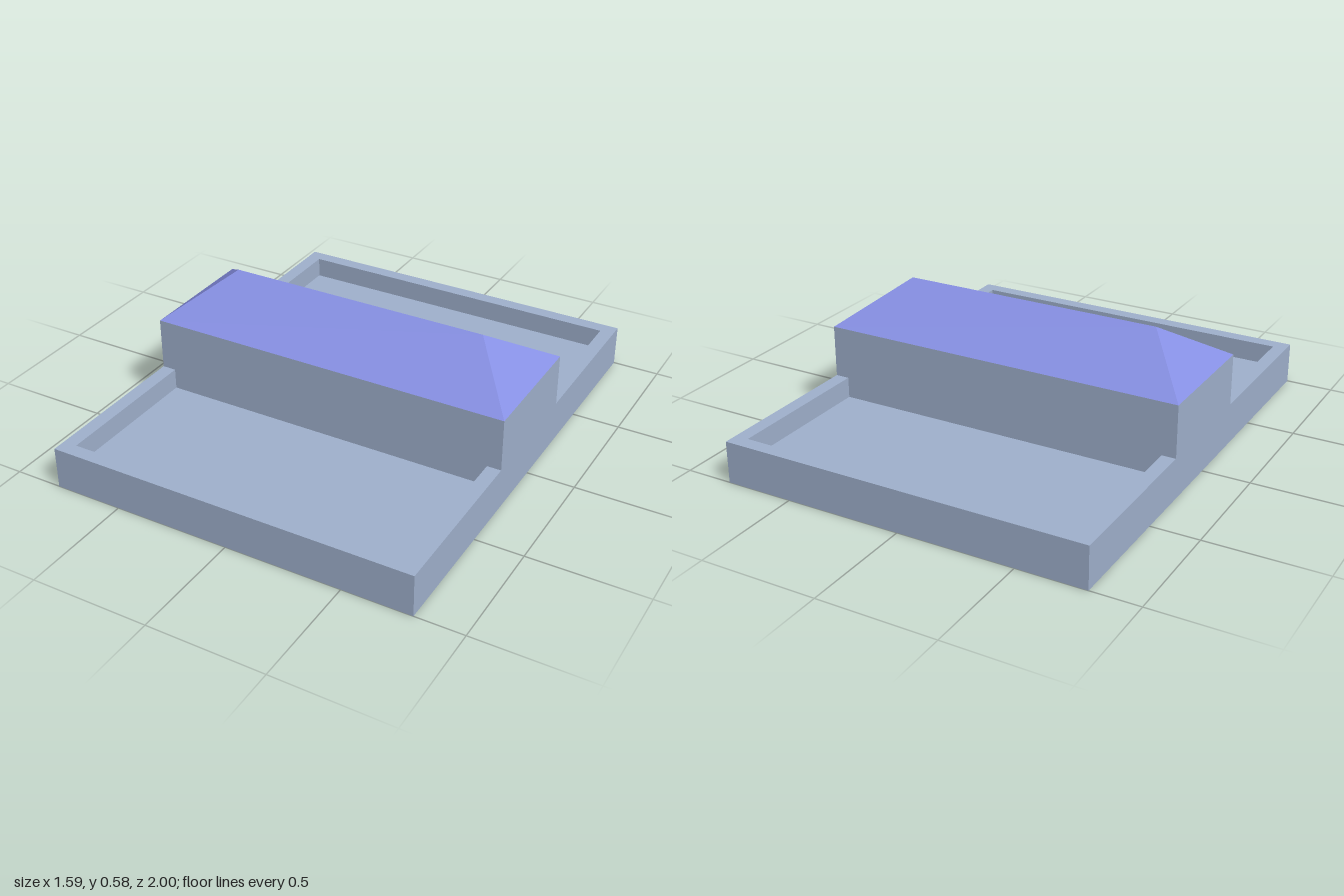
import * as THREE from 'three';

const HALF_X = 0.795, HALF_Z = 1, RIM = 0.06;
const FLOOR_Y = 0.09, RIM_Y = 0.18, EAVE_Y = 0.405, RIDGE_Y = 0.58;
const HOUSE_Z = 0.275, RIDGE_X = 0.57;

const wallMaterial = new THREE.MeshStandardMaterial({ color: 0x9fb0cc, flatShading: true });
const roofMaterial = new THREE.MeshStandardMaterial({ color: 0x868fe3, flatShading: true });

function part(name, geometry, material) {
  const mesh = new THREE.Mesh(geometry, material);
  mesh.name = name;
  return mesh;
}

// Box spanning the full width between two heights
function slab(name, halfZ, y0, y1) {
  const geometry = new THREE.BoxGeometry(2 * HALF_X, y1 - y0, 2 * halfZ);
  geometry.translate(0, (y0 + y1) / 2, 0);
  return part(name, geometry, wallMaterial);
}

function rectangle(target, x, z0, z1) {
  target.moveTo(-x, z0).lineTo(x, z0).lineTo(x, z1).lineTo(-x, z1).closePath();
  return target;
}

// Low parapet with one sunken terrace on each side of the house
function parapetGeometry() {
  const outline = rectangle(new THREE.Shape(), HALF_X, -HALF_Z, HALF_Z);
  for (const side of [-1, 1]) {
    outline.holes.push(rectangle(new THREE.Path(), HALF_X - RIM, side * HOUSE_Z, side * (HALF_Z - RIM)));
  }
  const geometry = new THREE.ExtrudeGeometry(outline, { depth: RIM_Y - FLOOR_Y, bevelEnabled: false });
  return geometry.rotateX(-Math.PI / 2).translate(0, FLOOR_Y, 0);
}

// Hipped roof: four eave corners and two ridge ends
function roofGeometry() {
  const geometry = new THREE.BufferGeometry();
  geometry.setAttribute('position', new THREE.Float32BufferAttribute([
    -HALF_X, EAVE_Y, HOUSE_Z, HALF_X, EAVE_Y, HOUSE_Z,
    HALF_X, EAVE_Y, -HOUSE_Z, -HALF_X, EAVE_Y, -HOUSE_Z,
    -RIDGE_X, RIDGE_Y, 0, RIDGE_X, RIDGE_Y, 0,
  ], 3));
  geometry.setIndex([0, 1, 5, 0, 5, 4, 2, 3, 4, 2, 4, 5, 1, 2, 5, 3, 0, 4]);
  const flat = geometry.toNonIndexed();
  flat.computeVertexNormals();
  return flat;
}

export function createModel() {
  const model = new THREE.Group();
  model.name = 'building';
  model.add(
    slab('terraceFloor', HALF_Z, 0, FLOOR_Y),
    part('parapet', parapetGeometry(), wallMaterial),
    slab('houseWalls', HOUSE_Z, RIM_Y, EAVE_Y),
    part('hippedRoof', roofGeometry(), roofMaterial),
  );
  return model;
}
